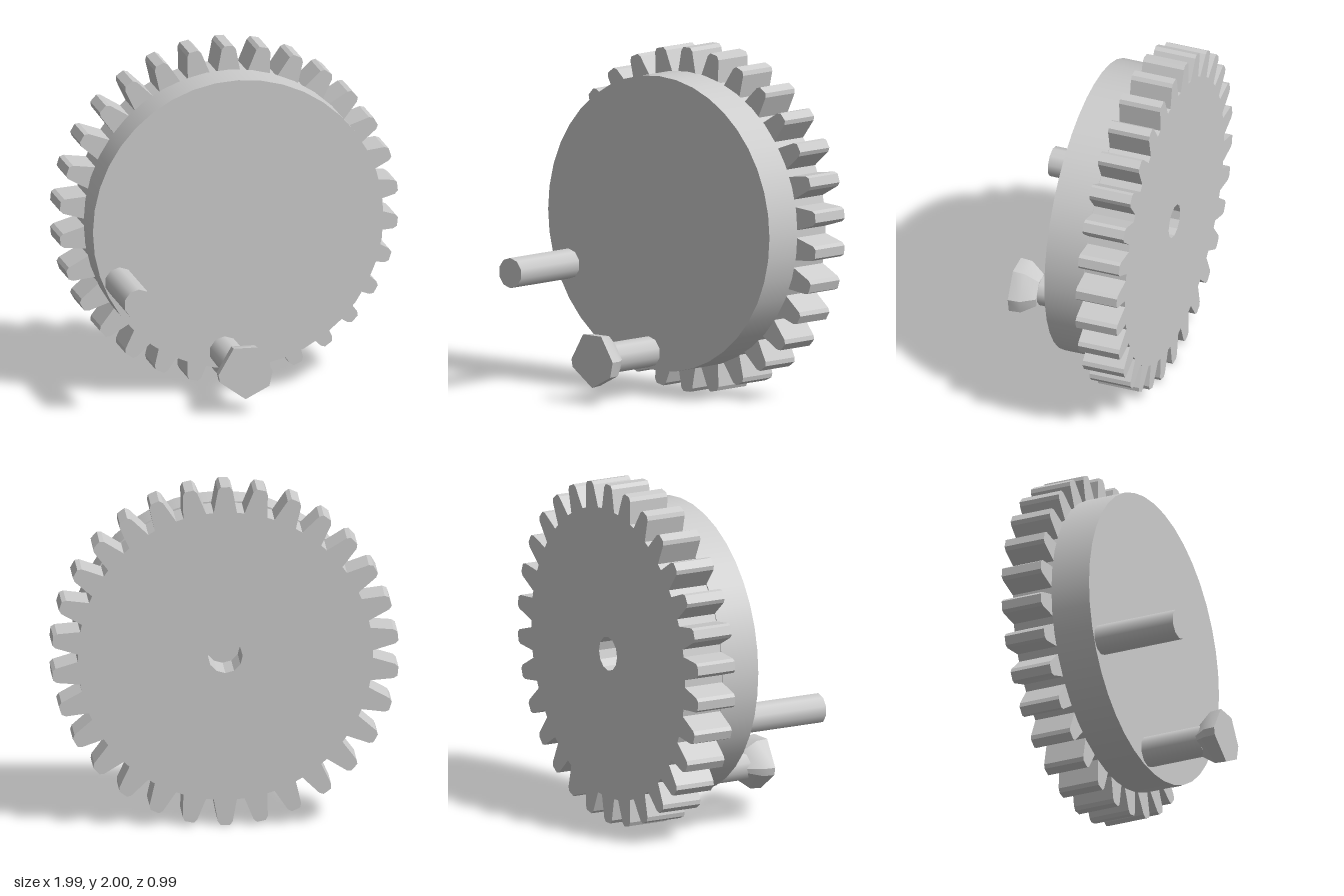
import * as THREE from 'three';
import { toCreasedNormals } from 'three/addons/utils/BufferGeometryUtils.js';

const material = new THREE.MeshStandardMaterial({ color: 0xcccccc });
const CENTER_Y = 1.0;

function addPart(group, name, geometry, x, y, z) {
  const mesh = new THREE.Mesh(geometry, material);
  mesh.name = name;
  mesh.position.set(x, y, z);
  group.add(mesh);
  return mesh;
}

// Cylinder lying along z, starting at z = 0
function rod(radius, length, sides) {
  return new THREE.CylinderGeometry(radius, radius, length, sides)
    .rotateX(Math.PI / 2).translate(0, 0, length / 2);
}

// Gear outline: tapered teeth with chamfered tips and a centre bore
function gearGeometry(teeth, depth) {
  const pitch = (Math.PI * 2) / teeth;
  // [radius, half width as an angle] along one tooth
  const flank = [[0.85, -0.079], [0.98, -0.043], [1.0, -0.026], [1.0, 0.026], [0.98, 0.043], [0.85, 0.079]];
  const points = [];
  for (let i = 0; i < teeth; i++) {
    for (const [r, offset] of flank) {
      const a = Math.PI / 2 + i * pitch + offset;
      points.push(new THREE.Vector2(r * Math.cos(a), r * Math.sin(a)));
    }
  }
  const shape = new THREE.Shape(points);
  shape.holes.push(new THREE.Path().absarc(0, 0, 0.1, 0, Math.PI * 2, true));
  return new THREE.ExtrudeGeometry(shape, { depth, bevelEnabled: false, curveSegments: 6 });
}

// Knob head: an uneven hexagon lofted through scaled sections
function headGeometry() {
  const outline = [[0.085, 0.01], [-0.0, 0.153], [-0.07, 0.153], [-0.16, 0.0], [-0.15, -0.045], [-0.0, -0.152], [0.14, -0.08], [0.16, 0.01], [0.07, 0.153]]
    .slice(1);
  const sections = [[0, 0.6], [0.08, 0.97], [0.15, 1]]; // [z, scale]
  const n = outline.length;
  const positions = [0, 0, 0];
  for (const [z, s] of sections) {
    for (const [x, y] of outline) positions.push(x * s, y * s, z);
  }
  positions.push(0, 0, 0.15);
  const last = 1 + n * sections.length;
  const index = [];
  for (let i = 0; i < n; i++) {
    const j = (i + 1) % n;
    index.push(0, 1 + j, 1 + i); // placeholder cap order matches the side winding below
    for (let k = 0; k < sections.length - 1; k++) {
      const a = 1 + k * n + i, b = 1 + k * n + j;
      index.push(a, b, b + n, a, b + n, a + n);
    }
    index.push(last, 1 + (sections.length - 1) * n + i, 1 + (sections.length - 1) * n + j);
  }
  const geometry = new THREE.BufferGeometry();
  geometry.setAttribute('position', new THREE.Float32BufferAttribute(positions, 3));
  geometry.setIndex(index);
  return toCreasedNormals(geometry, 0.6);
}

export function createModel() {
  const group = new THREE.Group();
  group.name = 'crankGear';

  // Toothed wheel at the back, plain disc in front
  addPart(group, 'gearWheel', gearGeometry(30, 0.25), 0, CENTER_Y, -0.49);
  addPart(group, 'frontDisc', rod(0.857, 0.24, 40), 0, CENTER_Y + 0.003, -0.24);

  // Plain peg near the left rim of the front face
  addPart(group, 'plainPeg', rod(0.088, 0.51, 10), -0.7, 0.7, -0.01);

  // Crank handle: shaft with a flared head
  const handle = new THREE.Group();
  handle.name = 'crankHandle';
  addPart(handle, 'handleShaft', rod(0.09, 0.38, 10), -0.01, 0.003, -0.01);
  addPart(handle, 'handleHead', headGeometry(), 0, 0, 0.345);
  handle.position.set(-0.07, 0.247, 0);
  group.add(handle);

  return group;
}
